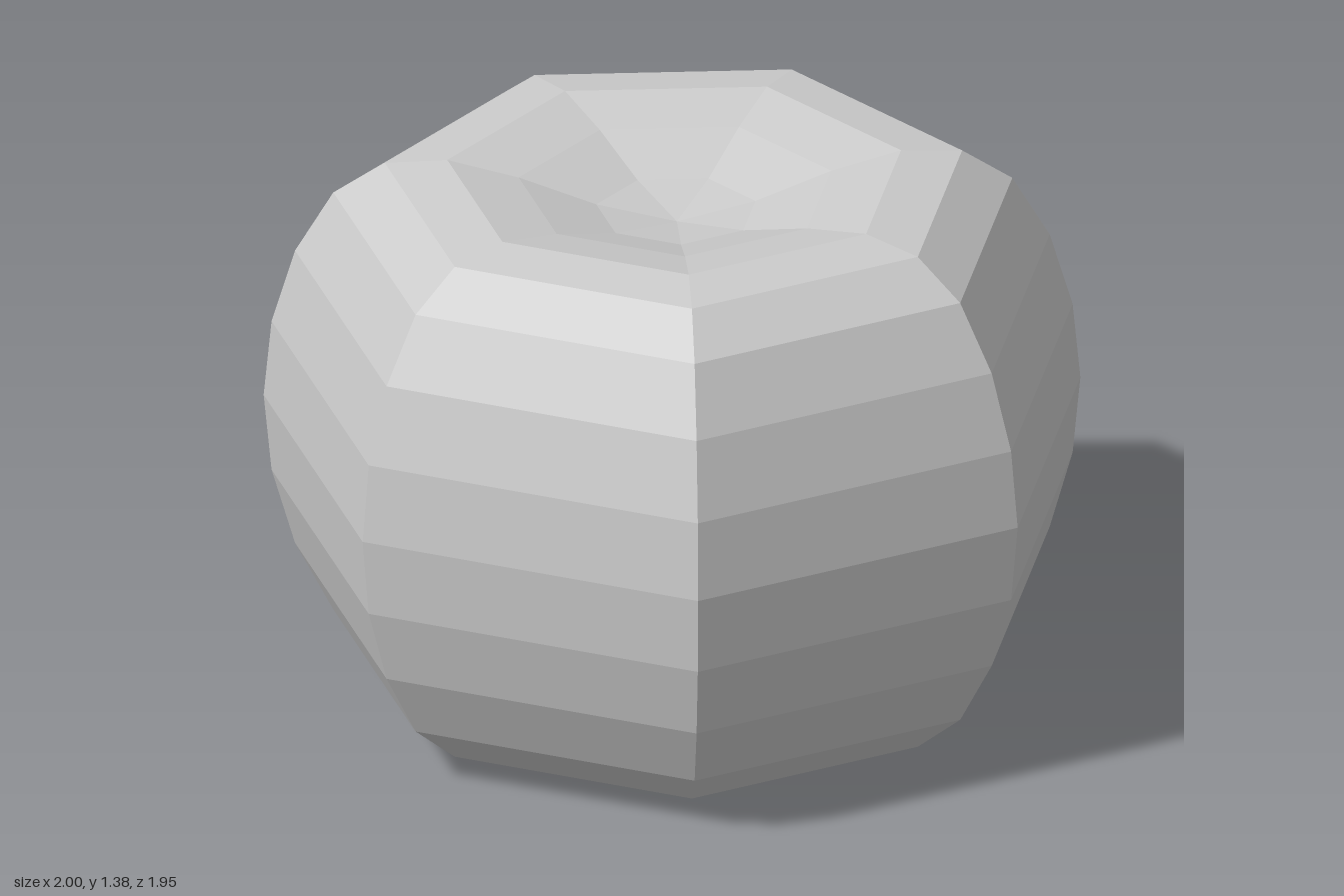
import * as THREE from 'three';

export function createModel() {
  const group = new THREE.Group();
  const R = 1.0257, rings = 16, sides = 7;

  // Heights from the bottom dimple, over the bulging side, to the top dimple
  const heights = [0.07, 0.045, 0.008, 0, 0.04, 0.147, 0.318, 0.511, 0.711,
    0.911, 1.106, 1.27, 1.36, 1.38, 1.347, 1.29, 1.26];
  // Radii follow a sphere split into equal angles
  const profile = heights.map((y, i) =>
    new THREE.Vector2(i % rings === 0 ? 0 : R * Math.sin((Math.PI * i) / rings), y));

  // Seven-sided body with one corner pointing to the back
  const body = new THREE.Mesh(
    new THREE.LatheGeometry(profile, sides, Math.PI),
    new THREE.MeshStandardMaterial({ color: 0xcccccc, flatShading: true })
  );
  body.name = 'dimpledBody';
  body.position.z = (R - R * Math.cos(Math.PI / sides)) / 2;
  group.add(body);
  return group;
}
